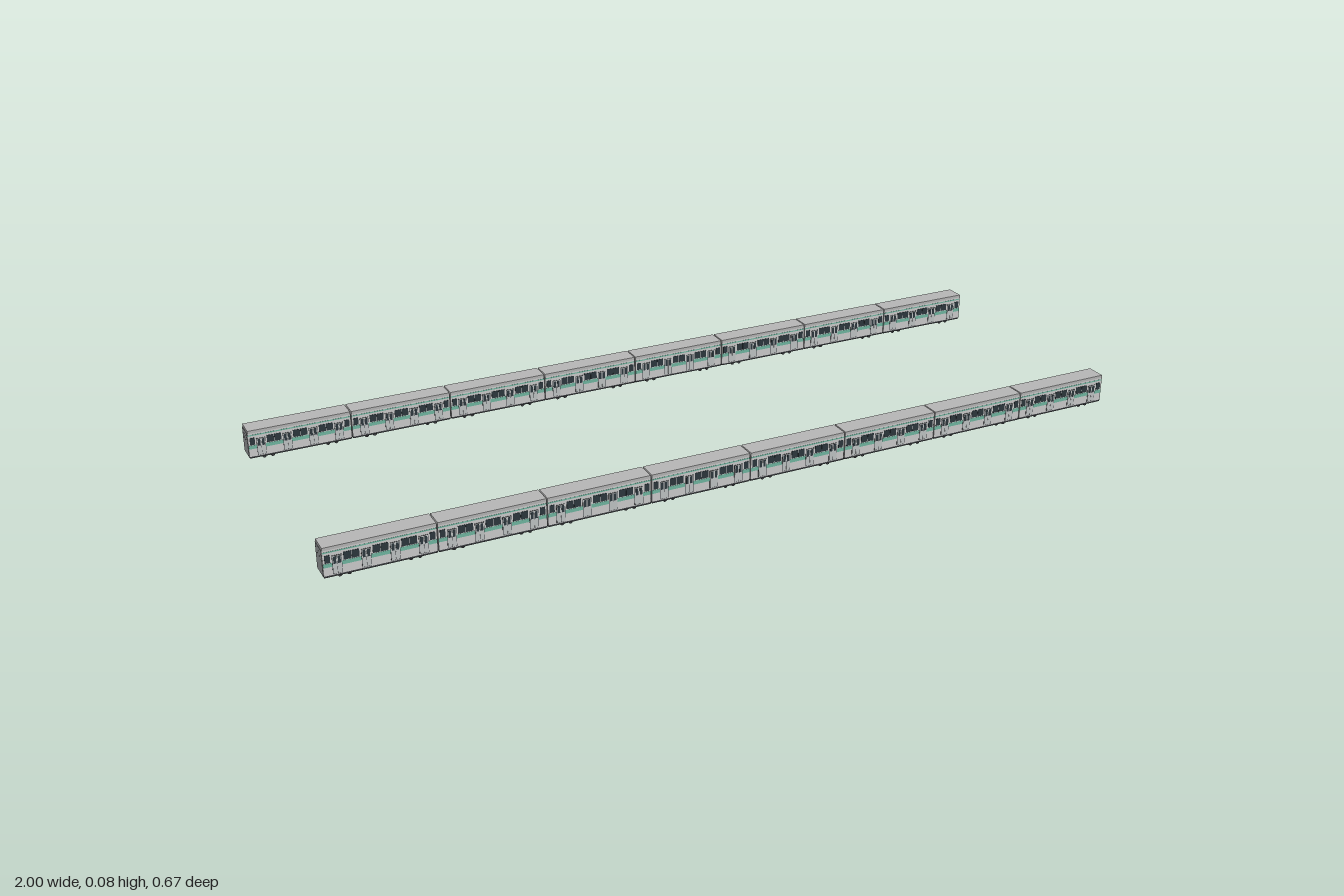
import * as THREE from 'three';

const mat = (color) => new THREE.MeshStandardMaterial({ color });
const M = {
  grey: mat(0xcccccc), roof: mat(0xb4b4b4), end: mat(0x808284), dark: mat(0x3a3d40),
  glass: mat(0x2c363c), teal: mat(0x6fb5a0), door: mat(0xbfc4c4),
};

const CARS = 8, PITCH = 0.25, LENGTH = 0.247, WIDTH = 0.047;

function box(parent, name, size, pos, material) {
  const mesh = new THREE.Mesh(new THREE.BoxGeometry(...size), material);
  mesh.name = name;
  mesh.position.set(...pos);
  parent.add(mesh);
  return mesh;
}

// Wheel truck: frame, two axles with four wheels
function createBogie() {
  const bogie = new THREE.Group();
  bogie.name = 'bogie';
  box(bogie, 'bogieFrame', [0.032, 0.005, 0.031], [0, 0.0075, 0], M.dark);
  const wheel = new THREE.CylinderGeometry(0.005, 0.005, 0.003, 12).rotateX(Math.PI / 2);
  for (const x of [-0.01, 0.01]) {
    box(bogie, 'axle', [0.002, 0.002, 0.026], [x, 0.005, 0], M.dark);
    for (const z of [-0.0125, 0.0125]) {
      const mesh = new THREE.Mesh(wheel, M.dark);
      mesh.name = 'wheel';
      mesh.position.set(x, 0.005, z);
      bogie.add(mesh);
    }
  }
  return bogie;
}

// Doors, windows and stripe for one long side, facing +z
function createSide() {
  const side = new THREE.Group();
  side.name = 'side';
  const z = WIDTH / 2;
  box(side, 'stripe', [LENGTH, 0.009, 0.0008], [0, 0.037, z], M.teal);
  box(side, 'upperStripe', [LENGTH, 0.003, 0.0008], [0, 0.0675, z], M.teal);
  for (let i = 0; i < 4; i++) {
    const x = (i - 1.5) * 0.0625;
    box(side, 'doorFrame', [0.021, 0.043, 0.0016], [x, 0.0365, z], M.dark);
    for (const s of [-1, 1]) {
      box(side, 'doorLeaf', [0.0092, 0.041, 0.0024], [x + s * 0.0049, 0.0365, z], M.door);
      box(side, 'doorWindow', [0.006, 0.017, 0.003], [x + s * 0.0049, 0.047, z], M.glass);
    }
  }
  // Window bays between doors, with short bays at the car ends
  for (let i = -1; i <= 1; i++)
    for (const s of [-1, 1])
      box(side, 'window', [0.0165, 0.018, 0.0014], [i * 0.0625 + s * 0.0088, 0.052, z], M.glass);
  for (const s of [-1, 1])
    box(side, 'endWindow', [0.012, 0.018, 0.0014], [s * 0.114, 0.052, z], M.glass);
  return side;
}

function createCar() {
  const car = new THREE.Group();
  car.name = 'car';
  box(car, 'body', [LENGTH, 0.06, WIDTH], [0, 0.043, 0], M.grey);
  box(car, 'roof', [LENGTH, 0.007, WIDTH + 0.001], [0, 0.0765, 0], M.roof);
  box(car, 'underframe', [LENGTH, 0.004, WIDTH], [0, 0.011, 0], M.dark);
  for (const s of [-1, 1]) {
    box(car, 'endPanel', [0.001, 0.06, WIDTH], [s * LENGTH / 2, 0.043, 0], M.end);
    const bogie = createBogie();
    bogie.position.x = s * 0.077;
    car.add(bogie);
    const side = createSide();
    if (s < 0) side.rotation.y = Math.PI;
    car.add(side);
  }
  return car;
}

function createTrain() {
  const train = new THREE.Group();
  train.name = 'train';
  for (let i = 0; i < CARS; i++) {
    const car = createCar();
    car.position.x = (i - (CARS - 1) / 2) * PITCH;
    train.add(car);
    // Gangway to the next car
    if (i < CARS - 1)
      box(train, 'gangway', [0.006, 0.055, 0.03], [car.position.x + PITCH / 2, 0.043, 0], M.dark);
  }
  // Driving ends: slim cab panel with a windscreen
  for (const s of [-1, 1]) {
    box(train, 'cabEnd', [0.0014, 0.062, 0.045], [s * 0.9993, 0.043, 0], M.end);
    for (const z of [-0.0145, 0, 0.0145])
      box(train, 'cabWindow', [0.0006, 0.02, 0.011], [s * 0.9999, 0.054, z], M.end);
  }
  return train;
}

export function createModel() {
  const model = new THREE.Group();
  model.name = 'pairOfTrains';
  for (const s of [-1, 1]) {
    const train = createTrain();
    train.position.z = s * 0.312;
    model.add(train);
  }
  return model;
}
